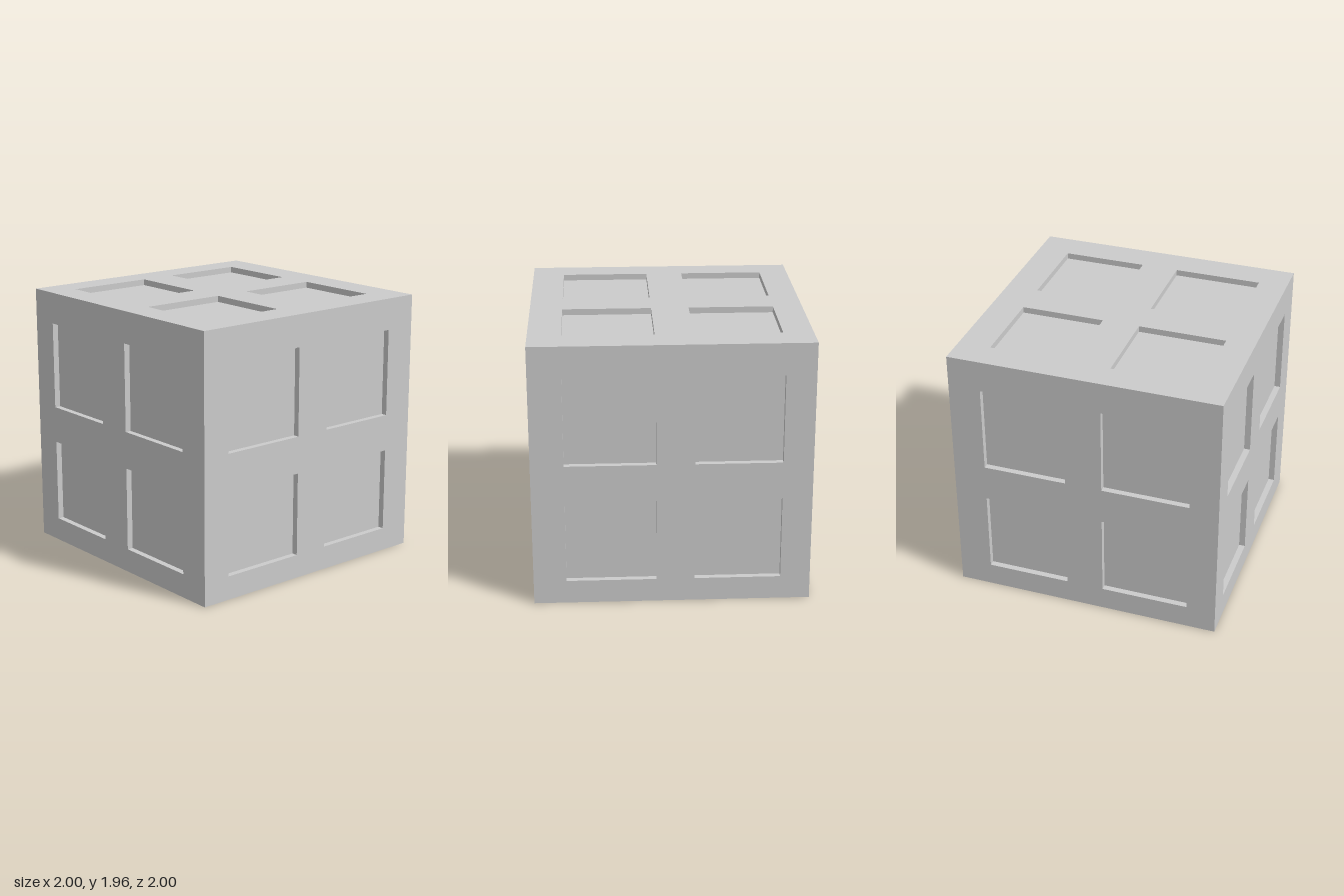
import * as THREE from 'three';
import { mergeGeometries } from 'three/addons/utils/BufferGeometryUtils.js';

const H = 1.955, DEPTH = 0.045;

// Spans of the recessed panes along each axis
const xs = [[-0.785, -0.135], [0.14, 0.76]];
const ys = [[0.175, 0.795], [1.07, 1.72]];
const zs = [[-0.785, -0.163], [0.113, 0.763]];
const flip = spans => spans.map(([a, b]) => [-b, -a]);

function rect(target, [u0, u1], [v0, v1]) {
  target.moveTo(u0, v0);
  target.lineTo(u1, v0);
  target.lineTo(u1, v1);
  target.lineTo(u0, v1);
  target.closePath();
  return target;
}

// Open tray seen from its inside: a box without its front, turned inside out
function tray([u0, u1], [v0, v1]) {
  const box = new THREE.BoxGeometry(u1 - u0, v1 - v0, DEPTH);
  const idx = Array.from(box.index.array);
  idx.splice(24, 6);
  box.setIndex(idx.reverse());
  box.translate((u0 + u1) / 2, (v0 + v1) / 2, -DEPTH / 2);
  const g = box.toNonIndexed();
  g.computeVertexNormals();
  return g;
}

// Flat face in local u, v with a grid of recessed panes
function panelGeometry(uRange, vRange, uSpans, vSpans) {
  const shape = rect(new THREE.Shape(), uRange, vRange);
  const parts = [];
  for (const u of uSpans) for (const v of vSpans) {
    shape.holes.push(rect(new THREE.Path(), u, v));
    parts.push(tray(u, v));
  }
  parts.push(new THREE.ShapeGeometry(shape).toNonIndexed());
  return mergeGeometries(parts);
}

export function createModel() {
  const group = new THREE.Group();
  const material = new THREE.MeshStandardMaterial({ color: 0xcccccc, flatShading: true });
  const add = (name, geometry) => {
    const mesh = new THREE.Mesh(geometry, material);
    mesh.name = name;
    group.add(mesh);
    return mesh;
  };

  // Four walls, each turned about the vertical axis
  const walls = [
    ['frontWall', xs, 0],
    ['leftWall', flip(zs), Math.PI / 2],
    ['backWall', flip(xs), Math.PI],
    ['rightWall', zs, -Math.PI / 2],
  ];
  for (const [name, spans, turn] of walls) {
    const g = panelGeometry([-1, 1], [0, H], spans, ys);
    add(name, g.translate(0, 0, 1).rotateY(turn));
  }

  // Top with panes, plain base
  add('top', panelGeometry([-1, 1], [-1, 1], xs, flip(zs)).rotateX(-Math.PI / 2).translate(0, H, 0));
  add('base', new THREE.PlaneGeometry(2, 2).rotateX(Math.PI / 2));

  return group;
}
